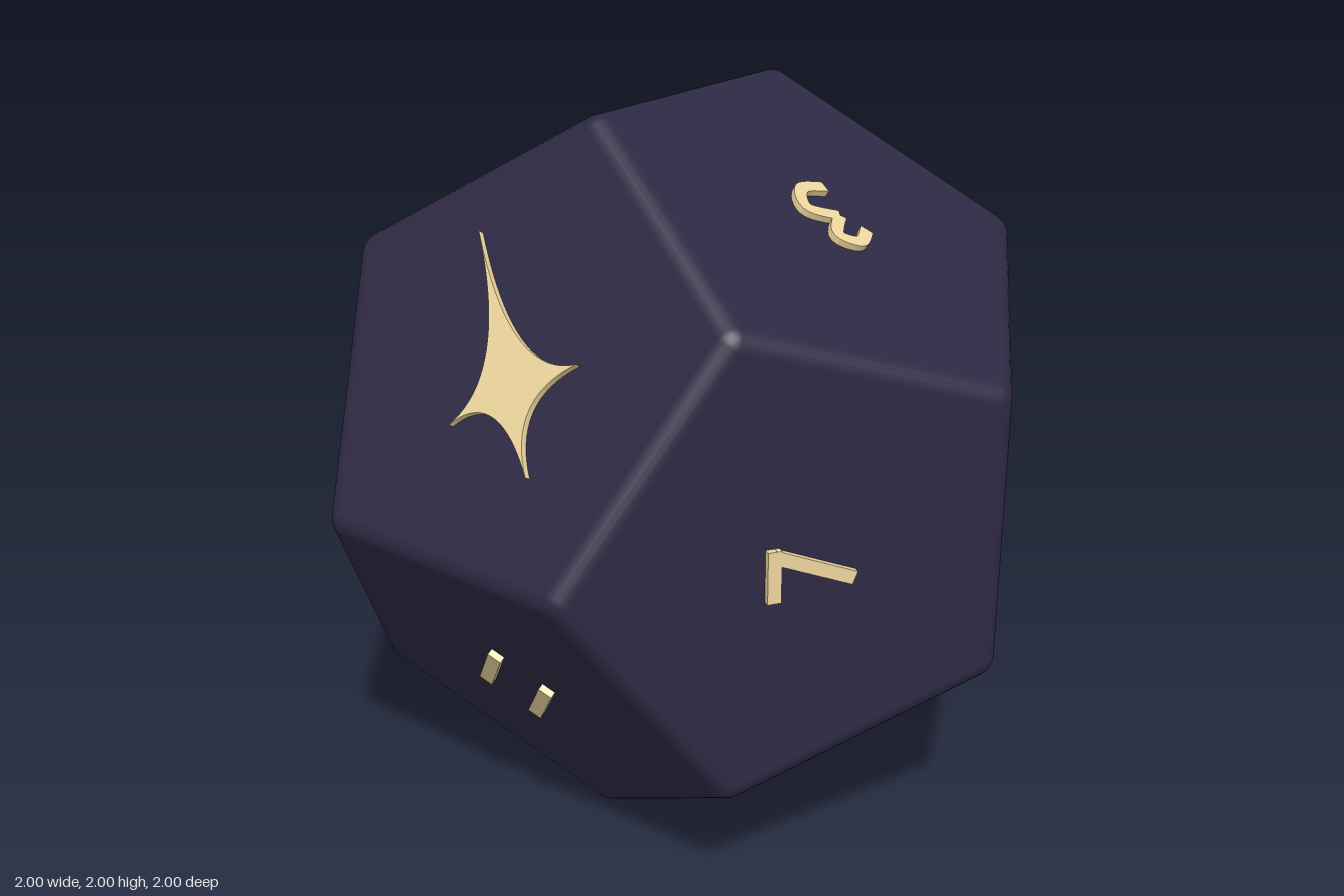
import * as THREE from 'three';
import { mergeGeometries } from 'three/addons/utils/BufferGeometryUtils.js';

const R = 0.06;                       // edge rounding
const CORE = 1 - R;                   // size of the sharp inner solid
const P = 0.618, Q = 0.382;
const A = 0.8507, B = 0.5257;         // face normal components
const FACE = CORE * A + R;            // centre to face
const V3 = (x, y, z) => new THREE.Vector3(x, y, z);

// Twelve-sided solid with rounded edges: flat faces, edge strips, corner patches
function bodyGeometry() {
  const verts = [], normals = [], S = [-1, 1];
  for (const a of S) for (const b of S) {
    verts.push(V3(a * Q, 0, b), V3(0, a, b * Q), V3(a, b * Q, 0));
    for (const c of S) verts.push(V3(a * P, b * P, c * P));
    normals.push(V3(0, a * B, b * A), V3(a * A, 0, b * B), V3(a * B, b * A, 0));
  }
  const touches = (v, n) => v.dot(n) > 0.8;
  const pos = [], nor = [], K = 5;
  const tri = (...c) => {             // corner = [inner vertex, normal]
    const p = c.map(([v, n]) => v.clone().multiplyScalar(CORE).addScaledVector(n, R));
    const cross = p[1].clone().sub(p[0]).cross(p[2].clone().sub(p[0]));
    const out = c[0][1].clone().add(c[1][1]).add(c[2][1]);
    const order = cross.dot(out) < 0 ? [0, 2, 1] : [0, 1, 2];
    for (const i of order) { pos.push(...p[i].toArray()); nor.push(...c[i][1].toArray()); }
  };
  // flat faces
  for (const n of normals) {
    const ring = verts.filter(v => touches(v, n));
    const u = ring[0].clone().addScaledVector(n, -ring[0].dot(n)).normalize();
    const w = n.clone().cross(u);
    ring.sort((a, b) => Math.atan2(a.dot(w), a.dot(u)) - Math.atan2(b.dot(w), b.dot(u)));
    for (let i = 1; i < 4; i++) tri([ring[0], n], [ring[i], n], [ring[i + 1], n]);
  }
  verts.forEach((v, i) => {
    // rounded corners
    const [a, b, c] = normals.filter(n => touches(v, n));
    const at = (j, k) => [v, a.clone().multiplyScalar(K - j - k)
      .addScaledVector(b, j).addScaledVector(c, k).normalize()];
    for (let j = 0; j < K; j++) for (let k = 0; k < K - j; k++) {
      tri(at(j, k), at(j + 1, k), at(j, k + 1));
      if (j + k < K - 1) tri(at(j + 1, k), at(j + 1, k + 1), at(j, k + 1));
    }
    // rounded edges
    for (const w of verts.slice(i + 1)) {
      const shared = normals.filter(n => touches(v, n) && touches(w, n));
      if (shared.length !== 2) continue;
      const mix = t => shared[0].clone().lerp(shared[1], t / K).normalize();
      for (let k = 0; k < K; k++) {
        const m = mix(k), o = mix(k + 1);
        tri([v, m], [w, m], [w, o]);
        tri([v, m], [w, o], [v, o]);
      }
    }
  });
  const g = new THREE.BufferGeometry();
  g.setAttribute('position', new THREE.Float32BufferAttribute(pos, 3));
  g.setAttribute('normal', new THREE.Float32BufferAttribute(nor, 3));
  return g;
}

// Ribbon along a line (two points) or a smooth curve (more points)
function stroke(points, width = 0.036) {
  const curve = new THREE.SplineCurve(points.map(p => new THREE.Vector2(...p)));
  const n = points.length > 2 ? 20 : 1, left = [], right = [];
  for (let i = 0; i <= n; i++) {
    const p = curve.getPoint(i / n), t = curve.getTangent(i / n);
    const side = new THREE.Vector2(-t.y, t.x).multiplyScalar(width / 2);
    left.push(p.clone().add(side));
    right.unshift(p.clone().sub(side));
  }
  return new THREE.Shape([...left, ...right]);
}

// Oval ring
function ring(x, y, rx, ry, w = 0.034) {
  const s = new THREE.Shape().absellipse(x, y, rx, ry, 0, Math.PI * 2);
  s.holes.push(new THREE.Path().absellipse(x, y, rx - w, ry - w, 0, Math.PI * 2, true));
  return s;
}

const bar = (x = 0) => stroke([[x, -0.115], [x, 0.115]], 0.04);
const underline = () => stroke([[-0.09, -0.23], [0.09, -0.23]], 0.02);

// Four-pointed star with one long ray
function star() {
  const s = new THREE.Shape();
  s.moveTo(-0.214, 0.297);
  s.quadraticCurveTo(0.048, -0.041, 0.23, 0.04);
  s.quadraticCurveTo(0.064, -0.088, 0.198, -0.255);
  s.quadraticCurveTo(0.021, -0.06, -0.09, -0.193);
  s.quadraticCurveTo(0.043, -0.03, -0.214, 0.297);
  return s;
}

// Raised marks: name, shapes, face normal, corner the mark points up to
const MARKS = [
  ['starMark', [star()], [0, B, A], [0, 1, Q]],
  ['oneMark', [bar()], [0, -B, -A], [-P, -P, -P]],
  ['twoMark', [
    stroke([[-0.06, 0.06], [-0.025, 0.1], [0.03, 0.095], [0.05, 0.045], [0.01, -0.03], [-0.06, -0.1]]),
    stroke([[-0.075, -0.1], [0.075, -0.1]])], [0, B, -A], [0, 1, -Q]],
  ['threeMark', [
    stroke([[-0.06, 0.08], [0, 0.105], [0.045, 0.06], [-0.02, 0.012]]),
    stroke([[-0.02, 0.012], [0.055, -0.045], [0.01, -0.105], [-0.07, -0.085]])], [B, A, 0], [1, Q, 0]],
  ['fourMark', [
    stroke([[0.03, 0.11], [-0.08, -0.04]], 0.03),
    stroke([[-0.09, -0.04], [0.08, -0.04]]),
    stroke([[0.03, 0.125], [0.03, -0.11]])], [A, 0, -B], [1, -Q, 0]],
  ['fiveMark', [
    stroke([[-0.055, 0.1], [0.06, 0.1]]),
    stroke([[-0.04, 0.1], [-0.045, 0]], 0.03),
    stroke([[-0.055, 0.01], [0.02, 0.02], [0.055, -0.035], [0.02, -0.095], [-0.065, -0.1]])],
  [B, -A, 0], [P, -P, P]],
  ['sixMark', [
    ring(0, -0.045, 0.075, 0.07),
    stroke([[-0.057, -0.04], [-0.03, 0.05], [0.05, 0.11]]), underline()], [-A, 0, -B], [-1, Q, 0]],
  ['sevenMark', [
    stroke([[-0.07, 0.098], [0.07, 0.098]]),
    stroke([[0.055, 0.1], [-0.035, -0.115]])], [A, 0, B], [Q, 0, 1]],
  ['eightMark', [ring(0, 0.06, 0.064, 0.058), ring(0, -0.045, 0.078, 0.073)], [-B, A, 0], [-P, P, P]],
  ['nineMark', [
    ring(0, 0.045, 0.075, 0.07),
    stroke([[0.057, 0.04], [0.03, -0.05], [-0.05, -0.11]]), underline()], [-A, 0, B], [-Q, 0, 1]],
  ['tenMark', [bar(-0.1), ring(0.06, 0, 0.08, 0.115)], [-B, -A, 0], [-1, -Q, 0]],
  ['elevenMark', [bar(-0.08), bar(0.08)], [0, -B, A], [Q, 0, 1]],
];

export function createModel() {
  const model = new THREE.Group();
  const die = new THREE.Group();
  die.name = 'twelveSidedDie';
  die.position.y = 1;
  model.add(die);

  const body = new THREE.Mesh(bodyGeometry(), new THREE.MeshStandardMaterial({ color: 0x2e2943 }));
  body.name = 'body';
  die.add(body);

  const gold = new THREE.MeshStandardMaterial({ color: 0xecd59c });
  for (const [name, shapes, normal, corner] of MARKS) {
    const parts = shapes.map(s =>
      new THREE.ExtrudeGeometry(s, { depth: 0.028, bevelEnabled: false, curveSegments: 20 }));
    const mark = new THREE.Mesh(mergeGeometries(parts), gold);
    const n = V3(...normal).normalize();
    const up = V3(...corner);
    up.addScaledVector(n, -up.dot(n)).normalize();
    mark.quaternion.setFromRotationMatrix(
      new THREE.Matrix4().makeBasis(up.clone().cross(n), up, n));
    mark.position.copy(n).multiplyScalar(FACE - 0.01);
    mark.name = name;
    die.add(mark);
  }
  return model;
}
